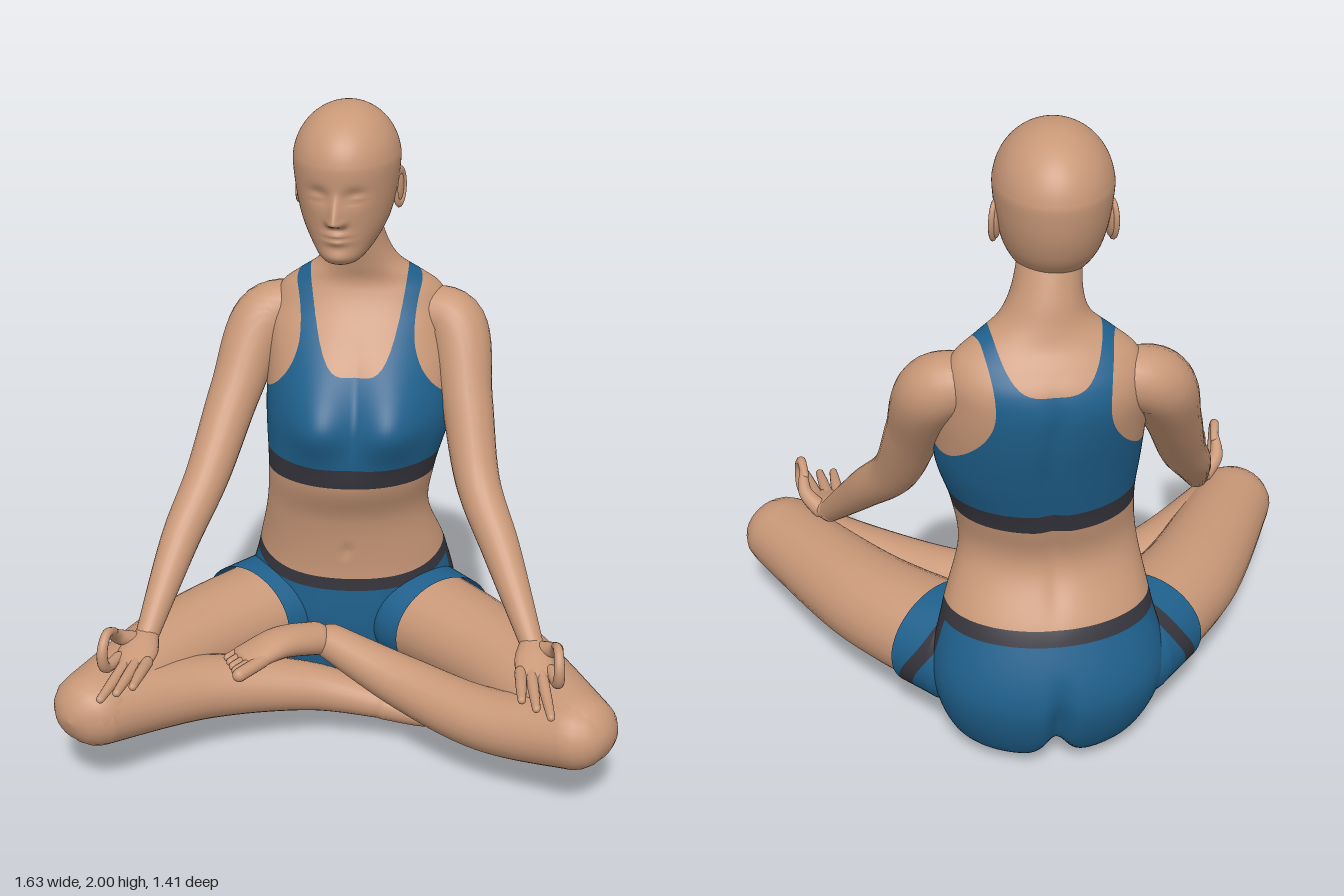
import * as THREE from 'three';

const skin = new THREE.MeshStandardMaterial({ color: 0xc99878 });
const blue = new THREE.MeshStandardMaterial({ color: 0x1f608c, side: THREE.DoubleSide });
const charcoal = new THREE.MeshStandardMaterial({ color: 0x36353d, side: THREE.DoubleSide });
skin.name = 'skin'; blue.name = 'blue fabric'; charcoal.name = 'charcoal trim';

const YAW = 0.384, V = (a) => new THREE.Vector3(...a);
const bump = (d, s) => Math.exp(-(d * d) / (s * s));
const smooth = THREE.MathUtils.smoothstep;

// Catmull-Rom interpolation through rows of numbers
function spline(keys, u) {
  const n = keys.length - 1, f = Math.min(Math.max(u, 0), 1) * n;
  const i = Math.min(Math.floor(f), n - 1), t = f - i;
  const at = (k) => keys[Math.min(Math.max(k, 0), n)];
  const [a, b, c, d] = [at(i - 1), at(i), at(i + 1), at(i + 2)];
  return b.map((_, k) => b[k] + 0.5 * t * (c[k] - a[k]
    + t * (2 * a[k] - 5 * b[k] + 4 * c[k] - d[k] + t * (3 * (b[k] - c[k]) + d[k] - a[k]))));
}

// Skin closed rings of points into a smooth surface
function skinRings(rings) {
  const m = rings[0].length, idx = [];
  for (let i = 0; i < rings.length - 1; i++) for (let j = 0; j < m; j++) {
    const a = i * m + j, b = i * m + (j + 1) % m;
    idx.push(a, b, b + m, a, b + m, a + m);
  }
  const g = new THREE.BufferGeometry();
  g.setAttribute('position', new THREE.Float32BufferAttribute(rings.flat(2), 3));
  g.setIndex(idx);
  g.computeVertexNormals();
  return g;
}

// Upright loft of ellipses; keys are [y, centre x, centre z, half width, half depth]
function loft(keys, yaw, rows, cols, focus, warp) {
  const c = Math.cos(yaw), s = Math.sin(yaw), rings = [];
  for (let i = 0; i <= rows; i++) {
    const [y, cx, cz, w, d] = spline(keys, i / rows), ring = [];
    for (let j = 0; j < cols; j++) {
      const u = j / cols * Math.PI * 2, t = u - focus * Math.sin(u), k = Math.cos(t);
      const p = [w * Math.sin(t), y, d * k];
      warp(p, k);
      ring.push([cx + p[0] * c + p[2] * s, p[1], cz - p[0] * s + p[2] * c]);
    }
    rings.push(ring);
  }
  return skinRings(rings);
}

// Round-ended limb; points are [x, y, z, half width, optional half height]
function limb(points, { up = [0, 1, 0], n = 36, m = 24, flat = 1, grow = 0 } = {}) {
  const keys = points.map(([x, y, z, w, h = w * flat]) => [x, y, z, w + grow, h + grow]);
  const rings = [], C = 5;
  for (let k = -C; k <= n + C; k++) {
    const u = Math.min(Math.max(k / n, 0), 1), over = k < 0 ? k / C : k > n ? (k - n) / C : 0;
    const q = spline(keys, u), t = V(spline(keys, u + 0.01)).sub(V(spline(keys, u - 0.01))).normalize();
    const e1 = V(up).addScaledVector(t, -V(up).dot(t)).normalize(), e2 = t.clone().cross(e1);
    const s = Math.cos(over * Math.PI / 2);
    const p = V(q).addScaledVector(t, Math.sin(over * Math.PI / 2) * Math.min(q[3], q[4]));
    rings.push(Array.from({ length: m }, (_, j) => {
      const a = j / m * Math.PI * 2;
      return p.clone().addScaledVector(e1, q[4] * s * Math.cos(a)).addScaledVector(e2, q[3] * s * Math.sin(a)).toArray();
    }));
  }
  return skinRings(rings);
}

// Cut a geometry along f = 0; returns [f > 0, f < 0]
function split(geo, f) {
  const g = geo.index ? geo.toNonIndexed() : geo, P = g.attributes.position, N = g.attributes.normal;
  return [1, -1].map((sign) => {
    const pos = [], nor = [];
    for (let i = 0; i < P.count; i += 3) {
      const tri = [i, i + 1, i + 2].map((k) => [P.getX(k), P.getY(k), P.getZ(k), N.getX(k), N.getY(k), N.getZ(k)]);
      const val = tri.map((v) => sign * f(v[0], v[1], v[2])), poly = [];
      for (let k = 0; k < 3; k++) {
        const l = (k + 1) % 3;
        if (val[k] >= 0) poly.push(tri[k]);
        if (val[k] * val[l] < 0) poly.push(tri[k].map((x, e) => x + (tri[l][e] - x) * val[k] / (val[k] - val[l])));
      }
      for (let k = 1; k < poly.length - 1; k++) for (const v of [poly[0], poly[k], poly[k + 1]]) {
        pos.push(...v.slice(0, 3)); nor.push(...v.slice(3));
      }
    }
    const out = new THREE.BufferGeometry();
    out.setAttribute('position', new THREE.Float32BufferAttribute(pos, 3));
    out.setAttribute('normal', new THREE.Float32BufferAttribute(nor, 3));
    return out;
  });
}

// Body-relative sideways and forward distances
const local = (x, z) => [x * Math.cos(YAW) - z * Math.sin(YAW), x * Math.sin(YAW) + z * Math.cos(YAW)];

// Sports top outline: armholes, neckline and lower edge
function topEdge(x, y, z) {
  const [lx, lz] = local(x + 0.265, z + 0.475), ax = Math.abs(lx);
  const back = smooth(-lz, -0.05, 0.05);
  const outer = 0.178 - 0.022 * back + (y < 1.28 ? 2.8 : 1.1) * (y - 1.28) ** 2;
  const neck = 1.17 + 0.16 * back + (0.27 - 0.14 * back) * (ax / 0.152) ** 4;
  return Math.min(outer - ax, neck - y, y - 0.825);
}
const waist = (x, z) => 0.53 - 0.068 * smooth(local(x + 0.26, z + 0.4)[1], -0.04, 0.19);

// Legs: dir and hem give the hem plane, out and edge the side stripe
const leftLeg = {
  side: 'left', dir: [0.83, 0.5], hem: -0.125, out: [0.5, -0.83], edge: 0.44,
  thigh: [[-0.02, 0.285, -0.425, 0.176], [0.32, 0.28, -0.27, 0.157], [0.7, 0.272, 0.005, 0.125]],
  shin: [[0.695, 0.268, 0.02, 0.117], [0.4, 0.225, 0.005, 0.103], [0.1, 0.245, -0.05, 0.088], [-0.17, 0.32, -0.065, 0.06]],
  foot: [[-0.215, 0.335, -0.04], [-0.28, 0.362, 0.075], [-0.335, 0.352, 0.19]],
  toe: [-0.3, -0.08, 0.95], across: [0.95, 0, 0.3],
};
const rightLeg = {
  side: 'right', dir: [-0.25, 0.97], hem: -0.03, out: [-0.97, -0.25], edge: 0.57,
  thigh: [[-0.47, 0.285, -0.31, 0.172], [-0.615, 0.282, 0.07, 0.158], [-0.685, 0.275, 0.535, 0.128]],
  shin: [[-0.675, 0.268, 0.535, 0.118], [-0.48, 0.232, 0.23, 0.107], [-0.22, 0.19, 0.02, 0.082], [0, 0.145, -0.06, 0.054]],
  foot: [[0.02, 0.14, -0.07], [0.13, 0.12, -0.11], [0.225, 0.105, -0.155]],
  toe: [0.9, -0.05, -0.35], across: [0.35, 0, 0.9],
};
const legs = [leftLeg, rightLeg];
const FOOT = [[0.06, 0.052], [0.064, 0.046], [0.066, 0.028]];
const hemAt = (L) => (x, y, z) => L.hem - L.dir[0] * x - L.dir[1] * z;
const stripe = (L) => (x, y, z) => Math.min(
  0.025 - Math.abs(0.03 + 0.35 * (y - 0.2) + 0.03 * bump(y - 0.37, 0.1) - hemAt(L)(x, y, z)),
  L.out[0] * x + L.out[1] * z - L.edge, y - 0.16);

// Arms run from inside the shoulder to the wrist and share one set of radii
const ARM = [0.07, 0.098, 0.082, 0.07, 0.06, 0.036];
const rightArm = {
  side: 'right', thumb: -1, fwd: [0.15, -0.14, 0.95],
  path: [[-0.42, 1.3, -0.45], [-0.555, 1.262, -0.375], [-0.585, 1.06, -0.225], [-0.59, 0.84, -0.04], [-0.6, 0.68, 0.13], [-0.585, 0.465, 0.37]],
};
const leftArm = {
  side: 'left', thumb: 1, fwd: [0.45, -0.2, 0.8],
  path: [[-0.12, 1.3, -0.54], [0.02, 1.267, -0.57], [0.11, 1.06, -0.47], [0.2, 0.84, -0.36], [0.33, 0.68, -0.25], [0.5, 0.465, -0.1]],
};

export function createModel() {
  const model = new THREE.Group();
  model.name = 'seatedMeditatingFigure';
  const add = (name, geo, mat, parent = model) => {
    const mesh = new THREE.Mesh(geo, mat);
    mesh.name = name; parent.add(mesh);
    return mesh;
  };

  // Torso, pelvis and neck
  const torso = loft([
    [0, -0.27, -0.4, 0.02, 0.02], [0.008, -0.275, -0.41, 0.17, 0.1], [0.085, -0.277, -0.43, 0.285, 0.19],
    [0.29, -0.285, -0.45, 0.347, 0.242], [0.5, -0.27, -0.423, 0.308, 0.21], [0.68, -0.255, -0.36, 0.262, 0.17],
    [0.83, -0.236, -0.35, 0.267, 0.21], [1, -0.23, -0.39, 0.295, 0.225], [1.15, -0.25, -0.44, 0.295, 0.212],
    [1.26, -0.27, -0.475, 0.288, 0.188], [1.33, -0.272, -0.494, 0.275, 0.157], [1.385, -0.268, -0.492, 0.25, 0.124],
    [1.43, -0.264, -0.48, 0.195, 0.1], [1.48, -0.26, -0.463, 0.128, 0.095], [1.55, -0.26, -0.44, 0.097, 0.094],
    [1.66, -0.26, -0.4, 0.085, 0.085]], YAW, 150, 128, 0, (p, k) => {
    const [x, y] = p;
    if (k > 0) { // breasts and navel
      p[2] += 0.085 * bump(Math.abs(x) - 0.12, 0.115) * bump(y - 1.04, y > 1.04 ? 0.15 : 0.115) * smooth(k, 0, 0.55);
      p[2] -= 0.012 * bump(x, 0.014) * bump(y - 0.565, 0.016);
    } else { // spine and cleft
      p[2] += 0.012 * bump(x, 0.03) * smooth(y, 0.5, 0.65) * (1 - smooth(y, 1.2, 1.4));
      p[2] -= 0.04 * bump(x, 0.03) * (1 - smooth(y, 0.2, 0.42)) * k;
    }
    p[1] += 0.05 * bump(x, 0.05) * (1 - smooth(y, 0.03, 0.15));
  });
  const [top, rest] = split(torso, topEdge);
  const [topCloth, topBand] = split(top, (x, y) => y - 0.892);
  const [shorts, bare] = split(rest, (x, y, z) => waist(x, z) - y);
  const [trim, shortsCloth] = split(shorts, (x, y, z) => Math.max(y - waist(x, z) + 0.043, ...legs.map((L) => stripe(L)(x, y, z))));
  add('torso', bare, skin);
  add('sportsTop', topCloth, blue);
  add('sportsTopBand', topBand, charcoal);
  add('shorts', shortsCloth, blue);
  add('shortsWaistband', trim, charcoal);

  // Crossed legs with feet, toes and the short legs of the shorts
  for (const L of legs) {
    add(L.side + 'Thigh', limb(L.thigh, { flat: 0.9 }), skin);
    add(L.side + 'Shin', limb(L.shin, { flat: 0.95 }), skin);
    add(L.side + 'Foot', limb(L.foot.map((p, i) => [...p, ...FOOT[i]])), skin);
    const sleeve = split(limb(L.thigh, { n: 60, m: 48, flat: 0.9, grow: 0.012 }), hemAt(L))[0];
    const [side, cloth] = split(sleeve, stripe(L));
    add(L.side + 'ShortsLeg', cloth, blue);
    add(L.side + 'ShortsStripe', side, charcoal);
    for (let i = 0; i < 5; i++) {
      const r = i ? 0.0165 - i * 0.001 : 0.022, len = 0.08 - i * 0.011;
      const at = (d) => L.foot[2].map((v, a) => v + L.across[a] * (0.048 - i * 0.025) + L.toe[a] * d);
      add(L.side + 'Toe', limb([[...at(-0.02), r], [...at(len), r]], { n: 6, m: 12 }), skin);
    }
  }

  // Arms and hands, palms up, thumb and index finger closed in a ring
  for (const A of [leftArm, rightArm]) {
    add(A.side + 'Arm', limb(A.path.map((p, i) => [...p, ARM[i]]), { up: [0, 0, 1], n: 48 }), skin);
    const hand = new THREE.Group();
    hand.name = A.side + 'Hand';
    const z = V(A.fwd).normalize(), x = V([0, 1, 0]).cross(z).normalize(), y = z.clone().cross(x);
    hand.applyMatrix4(new THREE.Matrix4().makeBasis(x, y, z).setPosition(...A.path[5]));
    model.add(hand);
    const digit = (name, pts, up = [1, 0, 0]) => add(name, limb(pts.map(([px, ...r]) => [px * A.thumb, ...r]), { up, n: 18, m: 14 }), skin, hand);
    digit('palm', [[0, 0, -0.01, 0.035, 0.032], [0, -0.004, 0.06, 0.06, 0.031], [-0.004, -0.006, 0.145, 0.059, 0.019]], [0, 1, 0]);
    for (let i = 0; i < 3; i++) {
      const fx = 0.014 - i * 0.031, len = 0.325 - i * 0.03;
      digit('finger', [[fx, -0.004, 0.12, 0.0185], [fx * 1.15, -0.002 + i * 0.006, 0.06 + len / 2, 0.017], [fx * 1.3, 0.004 + i * 0.008, len, 0.0125]]);
    }
    const curl = [0, 1, 2, 3].map((i) => {
      const a = -0.7 + i * 1.1;
      return [0.054, 0.056 + 0.06 * Math.sin(a), 0.155 + 0.054 * Math.cos(a), 0.018 - i * 0.0018];
    });
    digit('indexFinger', [[0.045, -0.002, 0.12, 0.0185], ...curl]);
    digit('thumb', [[0.028, 0, 0.03, 0.028], [0.062, 0.042, 0.075, 0.022], [0.056, 0.093, 0.122, 0.013]]);
  }

  // Head: jaw sections [y, half width, front, back], then a rounded dome
  const HX = -0.26, HZ = -0.38, HY = 0.28;
  const skull = [
    [1.537, 0.01, 0.13, 0.11], [1.54, 0.045, 0.165, 0.06], [1.56, 0.074, 0.184, -0.01], [1.6, 0.104, 0.19, -0.09],
    [1.65, 0.13, 0.194, -0.14], [1.7, 0.145, 0.2, -0.168], [1.76, 0.156, 0.207, -0.187]];
  for (let i = 0; i <= 8; i++) {
    const a = i / 8 * Math.PI / 2, c = Math.cos(a);
    skull.push([1.83 + 0.17 * Math.sin(a), 0.163 * c, 0.212 * c, -0.197 * c]);
  }
  const headKeys = skull.map(([y, w, f, b]) =>
    [y, HX + (f + b) / 2 * Math.sin(HY), HZ + (f + b) / 2 * Math.cos(HY), w, (f - b) / 2]);
  add('head', loft(headKeys, HY, 120, 128, 0.45, (p, k) => {
    if (k <= 0) return;
    const [x, y] = p, ax = Math.abs(x);
    // nose bridge and nostrils
    const ridge = y > 1.69 ? 1 - smooth(y, 1.675, 1.785) : smooth(y, 1.66, 1.69);
    p[2] += 0.054 * ridge * bump(x, 0.013 + 0.009 * (1 - smooth(y, 1.69, 1.77)));
    p[2] += 0.011 * bump(ax - 0.02, 0.012) * bump(y - 1.682, 0.013);
    // eye sockets, closed lids and lash line
    p[2] -= 0.02 * bump(ax - 0.056, 0.032) * bump(y - 1.76, 0.024);
    p[2] += 0.013 * bump(ax - 0.06, 0.026) * bump(y - 1.754, 0.015);
    p[2] -= 0.005 * bump(ax - 0.06, 0.026) * bump(y - 1.746, 0.004);
    // lips and chin
    p[2] += 0.012 * bump(x, 0.036) * (bump(y - 1.641, 0.012) + bump(y - 1.62, 0.012));
    p[2] -= 0.006 * bump(x, 0.036) * bump(y - 1.631, 0.004);
    p[2] += 0.01 * bump(x, 0.045) * bump(y - 1.568, 0.022);
  }), skin);

  // Ears
  const ears = new THREE.Group();
  ears.name = 'ears';
  ears.position.set(HX, 1.735, HZ);
  ears.rotation.y = HY;
  model.add(ears);
  for (const s of [1, -1]) {
    const ear = add('ear', new THREE.SphereGeometry(1, 20, 14), skin, ears);
    ear.scale.set(0.014, 0.056, 0.032);
    ear.position.set(s * 0.151, 0, -0.022);
    ear.rotation.set(-0.15, -s * 0.3, 0);
    const rim = add('earRim', new THREE.TorusGeometry(0.03, 0.008, 10, 28), skin, ears);
    rim.scale.y = 1.7;
    rim.position.set(s * 0.157, 0, -0.022);
    rim.rotation.set(-0.15, s * (Math.PI / 2 - 0.3), 0);
  }
  return model;
}
